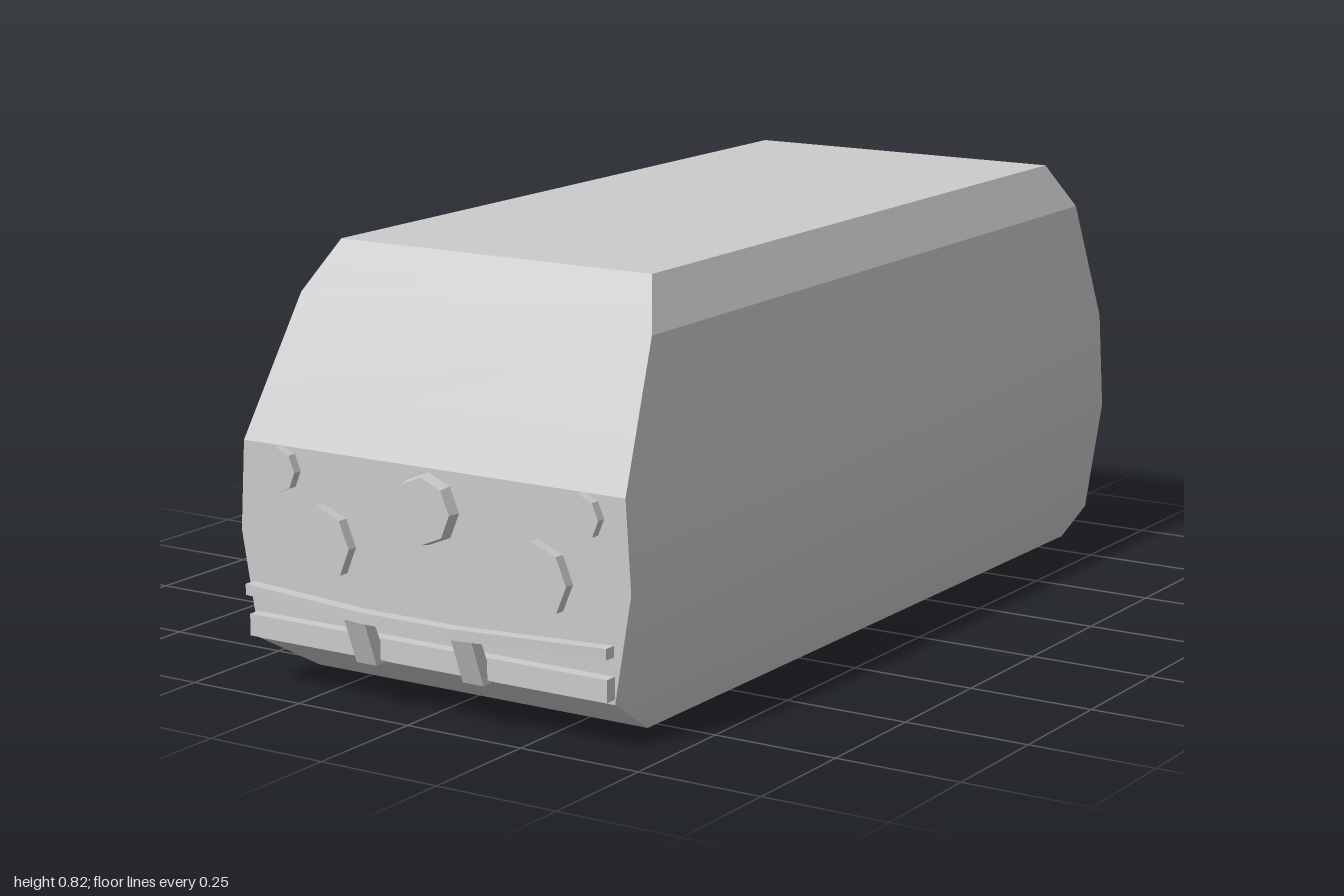
import * as THREE from 'three';
import { toCreasedNormals } from 'three/addons/utils/BufferGeometryUtils.js';
import { ConvexGeometry } from 'three/addons/geometries/ConvexGeometry.js';

const material = new THREE.MeshStandardMaterial({ color: 0xcccccc, flatShading: true });
const smoothMaterial = new THREE.MeshStandardMaterial({ color: 0xcccccc });

function add(group, name, geometry, mat = material) {
  const mesh = new THREE.Mesh(geometry, mat);
  mesh.name = name;
  group.add(mesh);
  return mesh;
}

function extrude(points, depth) {
  const shape = new THREE.Shape(points.map(([x, y]) => new THREE.Vector2(x, y)));
  return new THREE.ExtrudeGeometry(shape, { depth, bevelEnabled: false });
}

// Horizontal slab: outline in x and z, between two heights
function slab(points, bottom, top) {
  return extrude(points, top - bottom).rotateX(Math.PI / 2).translate(0, top, 0);
}

// Body shell lofted through four-cornered rings, closed at floor and roof
function bodyGeometry() {
  // half width, front y, front z, back y, back z
  const rings = [
    [0.375, 0, 0.78, 0, -0.86],
    [0.402, 0.085, 0.925, 0.06, -0.917],
    [0.437, 0.29, 0.925, 0.29, -0.917],
    [0.426, 0.463, 0.925, 0.485, -0.917],
    [0.392, 0.725, 0.788, 0.728, -0.86],
    [0.348, 0.82, 0.72, 0.82, -0.80],
  ];
  const positions = [];
  const index = [];
  rings.forEach(([w, fy, fz, by, bz], i) => {
    positions.push(w, fy, fz, w, by, bz, -w, by, bz, -w, fy, fz);
    if (i === 0) return;
    for (let j = 0; j < 4; j++) {
      const a = (i - 1) * 4 + j;
      const b = (i - 1) * 4 + (j + 1) % 4;
      index.push(a, b, b + 4, a, b + 4, a + 4);
    }
  });
  const t = (rings.length - 1) * 4;
  index.push(t, t + 1, t + 2, t, t + 2, t + 3, 0, 2, 1, 0, 3, 2);
  const geometry = new THREE.BufferGeometry();
  geometry.setAttribute('position', new THREE.Float32BufferAttribute(positions, 3));
  geometry.setIndex(index);
  return toCreasedNormals(geometry, 0.28);
}

// Eight-sided disc on the front panel
function disc(group, name, x, y, backRadius, frontRadius, depth) {
  const geometry = new THREE.CylinderGeometry(frontRadius, backRadius, depth, 8).rotateX(Math.PI / 2);
  add(group, name, geometry).position.set(x, y, 0.92 + depth / 2);
}

export function createModel() {
  const model = new THREE.Group();
  model.name = 'van';
  add(model, 'body', bodyGeometry(), smoothMaterial);

  // Lamps and the round plate on the nose
  for (const [side, s] of [['left', 1], ['right', -1]]) {
    disc(model, `${side}Headlight`, s * 0.241, 0.292, 0.073, 0.073, 0.027);
    disc(model, `${side}Indicator`, s * 0.337, 0.42, 0.044, 0.044, 0.024);
  }
  disc(model, 'nosePlate', 0, 0.388, 0.068, 0.063, 0.03);

  // Front bumper: bowed upper rail, straight lower rail and two slanted brackets
  const bumper = new THREE.Group();
  bumper.name = 'frontBumper';
  model.add(bumper);
  add(bumper, 'upperRail', slab([
    [-0.405, 0.932], [-0.1, 0.975], [0.1, 0.975], [0.405, 0.932],
    [0.405, 0.957], [0.1, 1], [-0.1, 1], [-0.405, 0.957],
  ], 0.175, 0.196));
  add(bumper, 'lowerRail', slab([
    [-0.402, 0.92], [0.402, 0.92], [0.402, 0.95], [-0.402, 0.95],
  ], 0.095, 0.137));
  for (const [side, s] of [['left', 1], ['right', -1]]) {
    const bracket = extrude([
      [0.925, 0.087], [0.962, 0.087], [0.996, 0.176], [0.97, 0.176], [0.945, 0.12], [0.925, 0.12],
    ], 0.046).rotateY(-Math.PI / 2).translate(s * 0.12 + 0.023, 0, 0);
    add(bumper, `${side}Bracket`, bracket);
  }

  // Faceted box on the rear panel
  const corners = [];
  for (const s of [1, -1]) {
    for (const [x, y, z] of [
      [0.35, 0.172, -0.9], [0.35, 0.287, -0.9], [0.35, 0.172, -0.955], [0.35, 0.287, -0.955],
      [0.145, 0.1, -0.9], [0.145, 0.362, -0.9], [0.145, 0.1, -0.92], [0.145, 0.362, -0.92],
      [0.145, 0.14, -1], [0.145, 0.32, -1],
    ]) corners.push(new THREE.Vector3(s * x, y, z));
  }
  add(model, 'rearBox', new ConvexGeometry(corners));

  return model;
}
